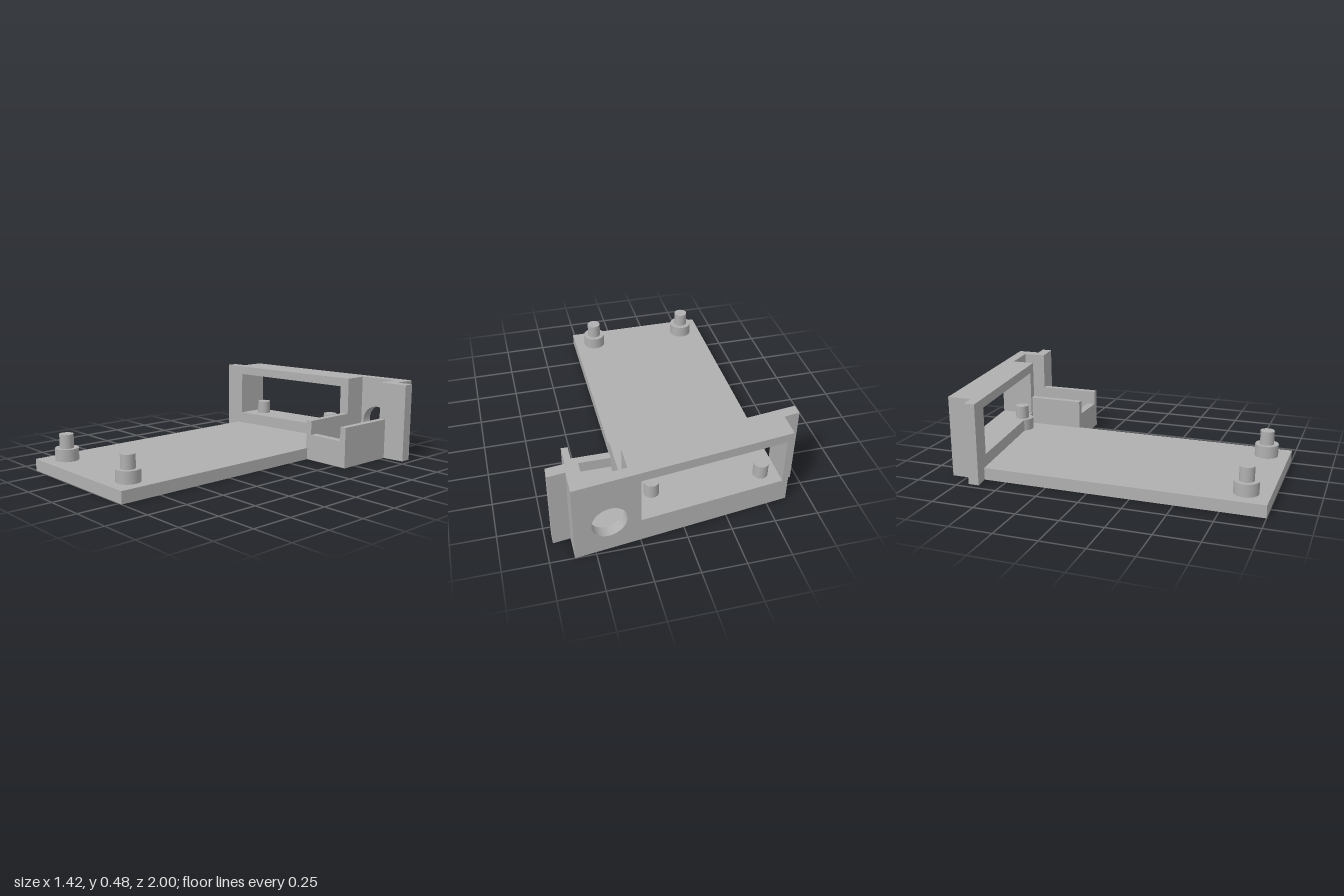
import * as THREE from 'three';
import { toCreasedNormals } from 'three/addons/utils/BufferGeometryUtils.js';

const SLOPE = -0.1255; // the end panel leans in plan: z shifts with x
const FLOOR = 0.095;   // bottom of the connector pocket

const polygon = (points) => new THREE.Shape(points.map(([x, y]) => new THREE.Vector2(x, y)));

// Extrude an x/y outline between two depths, optionally skewed along the panel
function slab(shape, zBack, zFront, skew = 0) {
  const geo = new THREE.ExtrudeGeometry(shape, { depth: zFront - zBack, bevelEnabled: false, curveSegments: 48 });
  const p = geo.attributes.position;
  for (let i = 0; i < p.count; i++) p.setZ(i, p.getZ(i) + zBack + skew * p.getX(i));
  geo.computeVertexNormals();
  return toCreasedNormals(geo, 0.5);
}

function addWindow(shape) {
  shape.holes.push(polygon([[-0.585, 0.145], [-0.585, 0.425], [0.245, 0.425], [0.245, 0.145]]));
  return shape;
}

// Panel outline with the pocket notch cut down from the top edge
const notched = (x0, x1) => addWindow(polygon([
  [x0, 0], [x1, 0], [x1, 0.48], [0.54, 0.48], [0.54, FLOOR], [0.305, FLOOR], [0.305, 0.48], [x0, 0.48],
]));

export function createModel() {
  const model = new THREE.Group();
  model.name = 'mountingTray';
  const grey = new THREE.MeshStandardMaterial({ color: 0xb0b0b0 });
  grey.name = 'grey plastic';

  const add = (name, geo, x = 0, y = 0, z = 0) => {
    const mesh = new THREE.Mesh(geo, grey);
    mesh.name = name;
    mesh.position.set(x, y, z);
    model.add(mesh);
  };

  // Flat base plate, its rear end buried in the panel
  add('basePlate', new THREE.BoxGeometry(0.895, 0.072, 1.82), -0.1725, 0.036, 0.09);

  // Slanted end panel: wide front flange, body, and back wall
  add('panelFlange', slab(notched(-0.712, 0.712), -0.78, -0.715, SLOPE));
  add('panelBody', slab(notched(-0.62, 0.615), -0.857, -0.78, SLOPE));
  const back = addWindow(polygon([[-0.62, 0], [0.615, 0], [0.615, 0.48], [-0.62, 0.48]]));
  const cableHole = new THREE.Path();
  cableHole.absarc(0.42, 0.195, 0.098, 0, Math.PI * 2, true);
  back.holes.push(cableHole);
  add('panelBackWall', slab(back, -0.923, -0.857, SLOPE));

  // Connector cradle: open channel with a low lip at the front
  add('cradle', slab(polygon([
    [0.265, 0], [0.58, 0], [0.58, 0.25], [0.54, 0.25], [0.54, FLOOR], [0.305, FLOOR], [0.305, 0.25], [0.265, 0.25],
  ]), -0.79, -0.405));
  add('cradleLip', new THREE.BoxGeometry(0.235, 0.162 - FLOOR, 0.05), 0.4225, (0.162 + FLOOR) / 2, -0.43);

  // Four stepped standoffs
  for (const x of [-0.485, 0.145]) {
    for (const z of [0.865, -0.765]) {
      add('standoffBase', new THREE.CylinderGeometry(0.07, 0.07, 0.08, 40), x, 0.105, z);
      add('standoffPin', new THREE.CylinderGeometry(0.042, 0.042, 0.09, 40), x, 0.183, z);
    }
  }
  return model;
}
